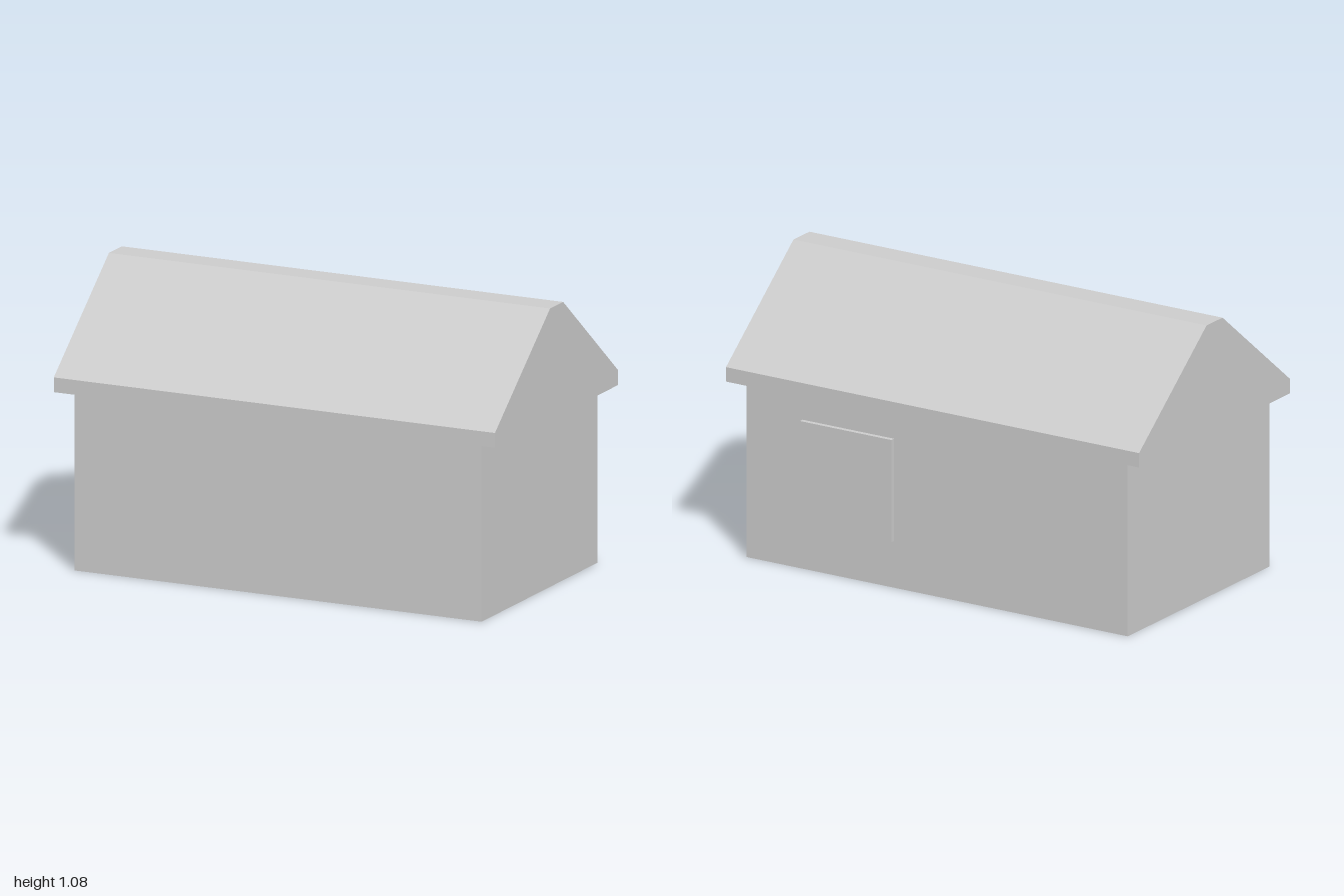
import * as THREE from 'three';

export function createModel() {
  const house = new THREE.Group();
  house.name = 'house';
  const grey = new THREE.MeshStandardMaterial({ color: 0xcccccc, flatShading: true });
  grey.name = 'plain grey';

  const add = (name, geometry, x, y, z) => {
    const mesh = new THREE.Mesh(geometry, grey);
    mesh.name = name;
    mesh.position.set(x, y, z);
    house.add(mesh);
  };

  // Walls: one closed block
  const wallHeight = 0.665, wallHalfDepth = 0.469;
  add('walls', new THREE.BoxGeometry(1.642, wallHeight, wallHalfDepth * 2), 0, wallHeight / 2, 0);

  // Gabled roof: eave band, two slopes and a narrow flat ridge, extruded along x
  const roofLength = 1.78;
  const profile = new THREE.Shape([
    [-0.5, 0], [0.5, 0], [0.5, 0.055], [0.053, 0.415], [-0.053, 0.415], [-0.5, 0.055],
  ].map(([x, y]) => new THREE.Vector2(x, y)));
  const roof = new THREE.ExtrudeGeometry(profile, { depth: roofLength, bevelEnabled: false });
  roof.translate(0, 0, -roofLength / 2).rotateY(Math.PI / 2);
  add('roof', roof, 0, wallHeight, 0);

  // Shutter panel standing slightly proud of the back wall
  const panelOut = 0.018;
  add('backPanel', new THREE.BoxGeometry(0.395, 0.39, panelOut), 0.383, 0.373, -wallHalfDepth - panelOut / 2);

  // The house stands turned on its plot
  house.rotation.y = 0.2995;
  const model = new THREE.Group();
  model.add(house);
  return model;
}
